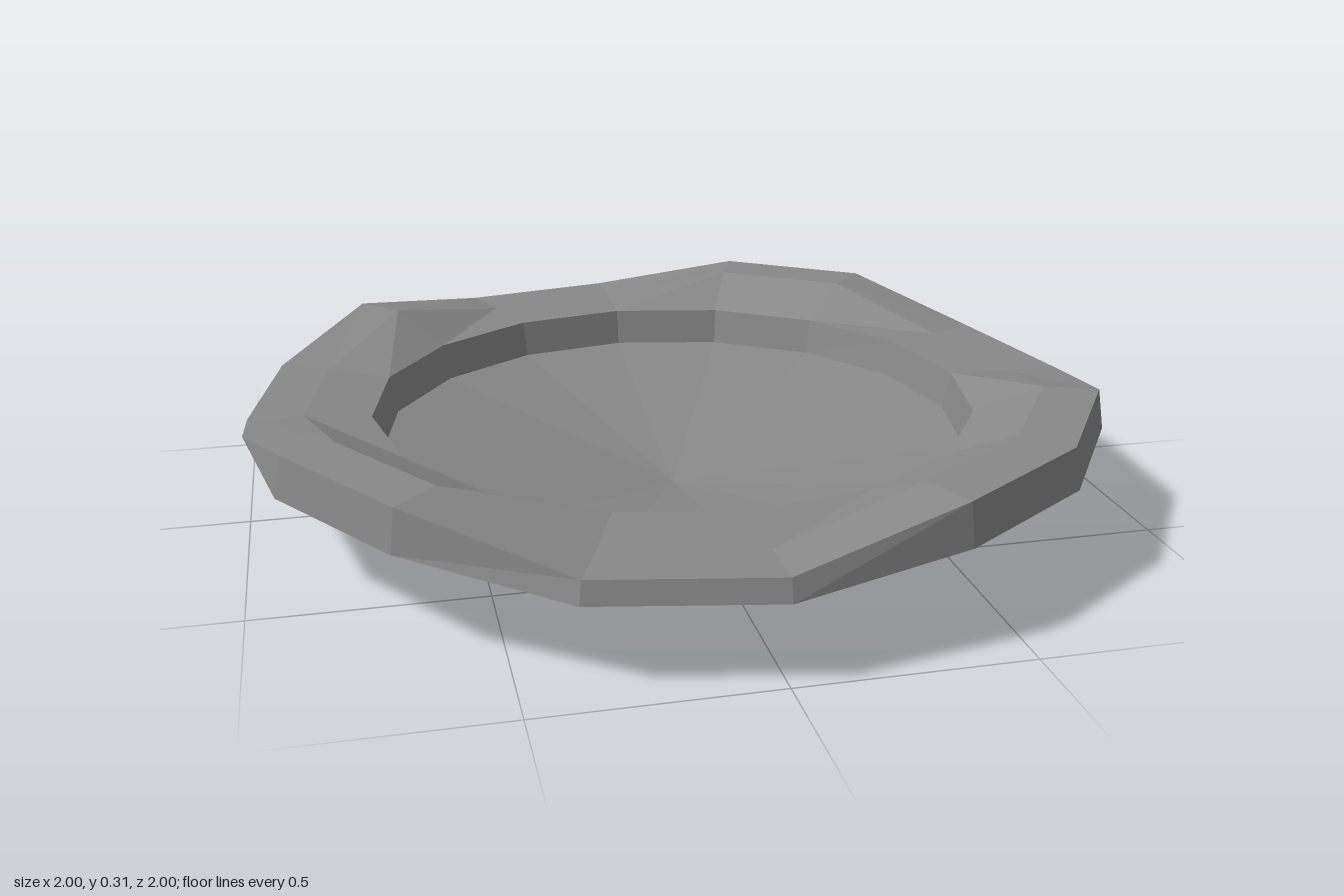
import * as THREE from 'three';

const SIDES = 16;

// Notches in the rim: [top, outer lower edge, underside] heights, by side index from +x towards +z
const RAISED = [0.305, 0.212, 0.165];
const NOTCHES = [
  { sides: [15, 0], heights: [0.23, 0.132, 0.136] },
  { sides: [4, 5], heights: [0.222, 0.175, 0.165] },
  { sides: [8, 9], heights: [0.25, 0.21, 0.165] },
  { sides: [11, 12], heights: [0.24, 0.155, 0.155] },
];

function rimHeights(k) {
  const notch = NOTCHES.find((n) => n.sides.includes(k));
  return notch ? notch.heights : RAISED;
}

// Faceted ring surface: profile(k) lists [radius, y] points running outward over the top, then back below
function facetedRing(profile) {
  const positions = [];
  const point = ([r, y], k) => {
    const a = (k / SIDES) * Math.PI * 2;
    return [r * Math.cos(a), y, r * Math.sin(a)];
  };
  for (let k = 0; k < SIDES; k++) {
    const here = profile(k);
    const next = profile((k + 1) % SIDES);
    for (let i = 0; i < here.length - 1; i++) {
      const a = point(here[i], k);
      const b = point(here[i + 1], k);
      const c = point(next[i + 1], k + 1);
      const d = point(next[i], k + 1);
      if (here[i][0] > 0) positions.push(...a, ...d, ...c);
      if (here[i + 1][0] > 0) positions.push(...a, ...c, ...b);
      else positions.push();
    }
  }
  const geometry = new THREE.BufferGeometry();
  geometry.setAttribute('position', new THREE.Float32BufferAttribute(positions, 3));
  geometry.computeVertexNormals();
  return geometry;
}

export function createModel() {
  const grey = new THREE.MeshStandardMaterial({ color: 0x888888 });
  grey.name = 'grey';
  const group = new THREE.Group();
  group.name = 'dish';

  const add = (name, profile) => {
    const mesh = new THREE.Mesh(facetedRing(profile), grey);
    mesh.name = name;
    group.add(mesh);
  };

  // Shallow conical floor and the short wall around it
  add('floor', () => [[0, 0.008], [0.69, 0.147], [0.708, 0.235]]);

  // Wide rim with four lowered rests
  add('rim', (k) => {
    const [top, low, under] = rimHeights(k);
    return [
      [0.708, 0.235],
      [0.86, top],
      [0.985, top],
      [1, low],
      [0.87, under],
      [0.742, 0.165],
    ];
  });

  // Outer wall of the bowl and its pointed underside
  add('base', () => [[0.742, 0.165], [0.718, 0.082], [0, 0]]);

  return group;
}
